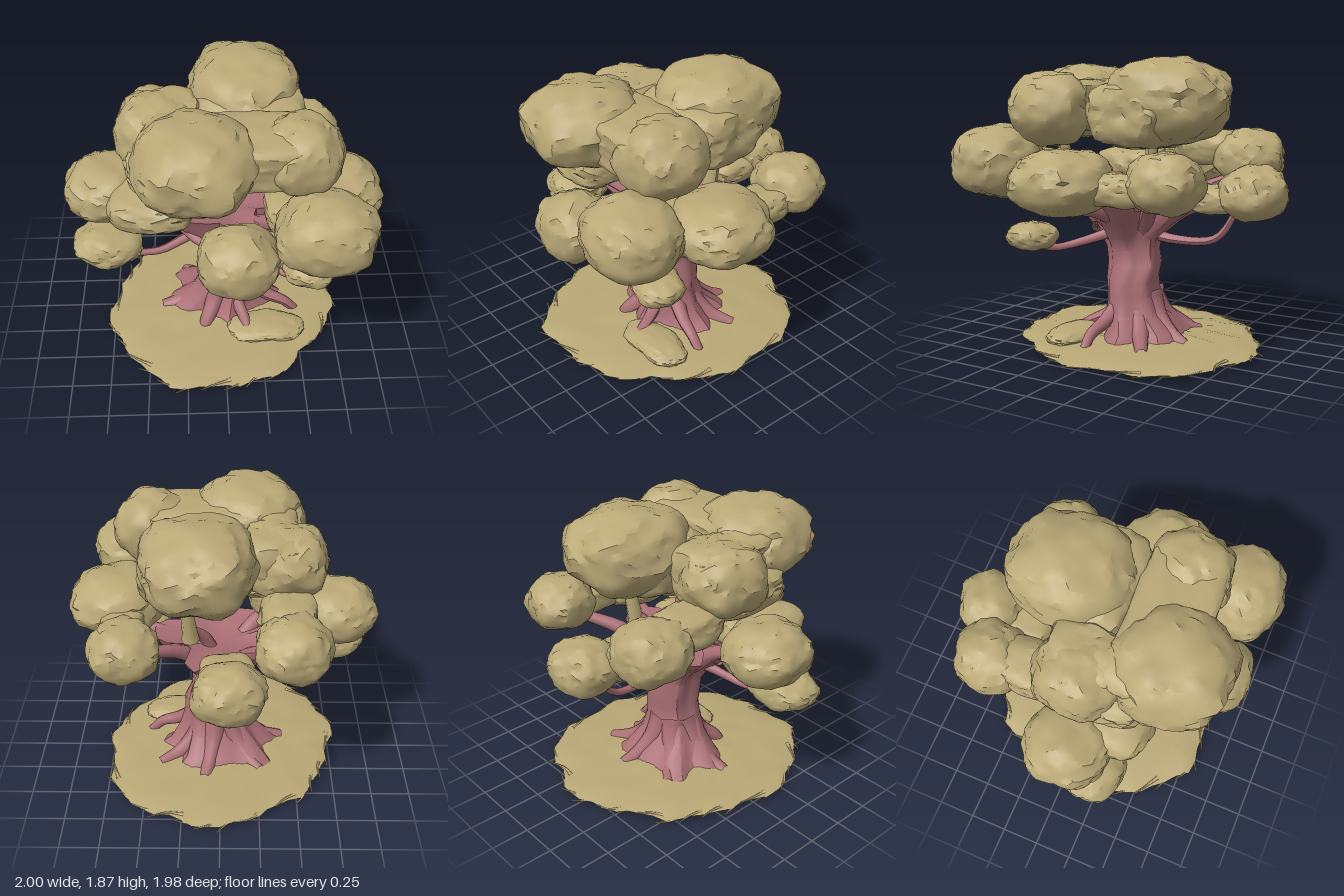
import * as THREE from 'three';
import { mergeVertices, toCreasedNormals } from 'three/addons/utils/BufferGeometryUtils.js';

const V = (x, y, z) => new THREE.Vector3(x, y, z);

// small seeded random generator
function seeded(seed) {
  let s = seed * 7919 + 17;
  return () => ((s = (s * 16807) % 2147483647) / 2147483647);
}

// craggy foliage clump with a smoother underside; higher power is boxier
function clumpGeometry(radii, seed, power = 2.25) {
  let geo = new THREE.IcosahedronGeometry(1, 7);
  geo.deleteAttribute('uv');
  geo.deleteAttribute('normal');
  geo = mergeVertices(geo, 1e-4);
  const rnd = seeded(seed);
  const p = geo.attributes.position;
  const v = V(0, 0, 0);
  for (let i = 0; i < p.count; i++) {
    v.fromBufferAttribute(p, i);
    const sum = Math.abs(v.x) ** power + Math.abs(v.y) ** power + Math.abs(v.z) ** power;
    const waves = Math.sin(5 * v.x + seed) * Math.sin(4.3 * v.y + 2 * seed)
      + Math.sin(5.6 * v.z + 3 * seed) * Math.sin(4.8 * v.x + 1.7 * seed)
      + 0.7 * Math.sin(9 * v.x + 4 * seed) * Math.sin(9 * v.z + seed) * Math.cos(8 * v.y);
    const rough = 0.03 + 0.04 * THREE.MathUtils.smoothstep(v.y, -0.6, 0.3);
    const scale = sum ** (-1 / power) * (1 + 0.04 * waves + rough * (rnd() - 0.5));
    p.setXYZ(i, v.x * scale * radii[0], v.y * scale * radii[1], v.z * scale * radii[2]);
  }
  return toCreasedNormals(geo, 0.6);
}

// skin over stacked rings of points
function loft(ringCount, sides, pointAt) {
  const pos = [], index = [];
  for (let i = 0; i < ringCount; i++) {
    for (let j = 0; j < sides; j++) pos.push(...pointAt(i, (j / sides) * Math.PI * 2));
  }
  for (let i = 0; i < ringCount - 1; i++) {
    for (let j = 0; j < sides; j++) {
      const a = i * sides + j, b = i * sides + (j + 1) % sides;
      index.push(a, a + sides, b, b, a + sides, b + sides);
    }
  }
  const geo = new THREE.BufferGeometry();
  geo.setAttribute('position', new THREE.Float32BufferAttribute(pos, 3));
  geo.setIndex(index);
  return toCreasedNormals(geo, 0.6);
}

// tube that narrows from r0 to r1 along a smooth path
function limbGeometry(points, r0, r1) {
  const curve = new THREE.CatmullRomCurve3(points);
  const segs = 14, sides = 8;
  const geo = new THREE.TubeGeometry(curve, segs, 1, sides);
  const p = geo.attributes.position, v = V(0, 0, 0);
  for (let i = 0; i < p.count; i++) {
    const t = Math.floor(i / (sides + 1)) / segs;
    const c = curve.getPointAt(t);
    v.fromBufferAttribute(p, i).sub(c).multiplyScalar(r0 + (r1 - r0) * Math.sqrt(t)).add(c);
    p.setXYZ(i, v.x, v.y, v.z);
  }
  geo.computeVertexNormals();
  return geo;
}

export function createModel() {
  const tree = new THREE.Group();
  tree.name = 'tree';
  const leaf = new THREE.MeshStandardMaterial({ color: 0xb9a876 });
  leaf.name = 'olive foliage';
  const bark = new THREE.MeshStandardMaterial({ color: 0xaa6f75, side: THREE.DoubleSide });
  bark.name = 'rose bark';
  const add = (name, geo, mat) => {
    const mesh = new THREE.Mesh(geo, mat);
    mesh.name = name;
    tree.add(mesh);
    return mesh;
  };

  // foliage clumps: name, centre, radii, boxiness
  const clumps = [
    ['crownTop', [0.14, 1.58, -0.27], [0.35, 0.27, 0.4]],
    ['crownTopSkirt', [0.16, 1.5, -0.12], [0.34, 0.2, 0.26], 5],
    ['crownFront', [-0.18, 1.56, 0.5], [0.36, 0.25, 0.37]],
    ['crownLeft', [0.44, 1.53, 0.38], [0.25, 0.23, 0.26]],
    ['crownRight', [-0.42, 1.48, 0.0], [0.25, 0.22, 0.27]],
    ['crownBridge', [0.02, 1.55, 0.37], [0.48, 0.16, 0.24], 6],
    ['crownShelf', [-0.33, 1.36, 0.14], [0.27, 0.12, 0.3], 4],
    ['crownInnerRight', [-0.32, 1.5, 0.02], [0.18, 0.18, 0.25], 5],
    ['midFrontLeft', [0.58, 1.2, 0.7], [0.3, 0.23, 0.27]],
    ['midFront', [0.06, 1.03, 0.74], [0.24, 0.21, 0.22]],
    ['midLeft', [0.68, 1.11, 0.15], [0.31, 0.2, 0.31]],
    ['midLeftInner', [0.46, 1.12, 0.36], [0.22, 0.12, 0.26], 3],
    ['midRight', [-0.74, 1.09, 0.06], [0.26, 0.19, 0.27]],
    ['midFrontRight', [-0.45, 1.12, 0.25], [0.27, 0.13, 0.26], 3],
    ['backRight', [-0.43, 1.2, -0.58], [0.23, 0.19, 0.23]],
    ['backRightInner', [-0.42, 1.26, -0.3], [0.17, 0.12, 0.24], 3],
    ['backLeft', [0.58, 1.13, -0.5], [0.22, 0.18, 0.22]],
    ['backLeftInner', [0.62, 1.08, -0.2], [0.14, 0.1, 0.22], 3],
    ['back', [-0.05, 1.02, -0.78], [0.22, 0.17, 0.21]],
    ['backInner', [-0.04, 0.97, -0.55], [0.17, 0.09, 0.2], 3],
    ['lowRight', [-0.74, 0.77, 0.24], [0.22, 0.125, 0.19]],
    ['lowLeft', [0.53, 0.73, 0.48], [0.165, 0.09, 0.155]],
    ['rootMoss', [0.28, 0.06, 0.32], [0.26, 0.06, 0.14]],
  ];
  clumps.forEach(([name, c, r, power], i) =>
    add(name + 'Foliage', clumpGeometry(r, i + 1, power), leaf).position.set(...c));

  // leafy stems that carry the crown
  [[0.24, 1.4, -0.22], [0.42, 1.4, 0.34], [-0.36, 1.35, 0.04]].forEach(([x, y, z]) =>
    add('crownStem', limbGeometry([V(x * 0.8, 1.0, z * 0.8), V(x * 0.85, 1.15, z * 0.9), V(x, y, z)], 0.06, 0.035), leaf));

  // trunk: x, y, z of ring centre, half widths, depth of lobes
  const trunkRings = [
    [0.0, 0.02, -0.05, 0.4, 0.31, 0.14],
    [0.0, 0.1, -0.04, 0.31, 0.26, 0.12],
    [0.03, 0.2, 0.0, 0.235, 0.19, 0.08],
    [0.05, 0.32, 0.02, 0.19, 0.165, 0.05],
    [0.06, 0.42, 0.02, 0.18, 0.165, 0.05],
    [0.03, 0.52, 0.015, 0.165, 0.175, 0.06],
    [0.025, 0.62, 0.03, 0.16, 0.175, 0.06],
    [0.02, 0.7, 0.04, 0.2, 0.2, 0.09],
    [0.01, 0.8, 0.02, 0.28, 0.27, 0.15],
    [0.0, 0.9, -0.01, 0.35, 0.34, 0.22],
    [0.0, 0.95, 0, 0.38, 0.36, 0.26],
    [0.0, 0.9, 0, 0.14, 0.14, 0.1],
    [0.0, 0.88, 0, 0.001, 0.001, 0],
  ];
  add('trunk', loft(trunkRings.length, 30, (i, a) => {
    const [x, y, z, rx, rz, lobe] = trunkRings[i];
    const k = 1 + lobe * Math.sin(5 * a + 0.6 + y) + lobe * 0.5 * Math.sin(8 * a + 2 + 3 * y);
    return [x + Math.cos(a) * rx * k, y, z + Math.sin(a) * rz * k];
  }), bark);

  // main branches: end point, thickness at the start and the end
  const branches = [
    [[0.56, 1.1, 0.6], 0.1, 0.03], [[0.06, 0.95, 0.66], 0.09, 0.035],
    [[0.78, 0.95, 0.15], 0.1, 0.03], [[-0.7, 1.02, 0.06], 0.1, 0.03],
    [[-0.45, 1.04, 0.3], 0.1, 0.04], [[-0.42, 1.1, -0.55], 0.1, 0.03],
    [[0.55, 1.06, -0.46], 0.1, 0.03], [[-0.05, 0.95, -0.68], 0.09, 0.035],
    [[0.2, 1.08, -0.18], 0.08, 0.03],
  ];
  branches.forEach(([e, r0, r1]) => {
    const end = V(...e);
    const mid = V(e[0] * 0.5, 0.87 + (e[1] - 0.87) * 0.4, e[2] * 0.5);
    add('branch', limbGeometry([V(0.02, 0.66, 0.02), V(e[0] * 0.22, 0.78, e[2] * 0.22), mid, end], r0, r1), bark);
  });

  // thin drooping side branches
  [
    [V(-0.08, 0.76, 0.06), V(-0.26, 0.71, 0.14), V(-0.42, 0.665, 0.2), V(-0.7, 0.69, 0.24)],
    [V(0.1, 0.74, 0.1), V(0.24, 0.67, 0.28), V(0.38, 0.635, 0.42), V(0.5, 0.67, 0.48)],
    [V(0.0, 0.72, -0.06), V(0.0, 0.69, -0.25), V(-0.02, 0.72, -0.54), V(-0.04, 0.92, -0.68)],
    [V(-0.1, 0.78, 0.1), V(-0.06, 0.8, 0.34), V(0.02, 0.83, 0.55), V(0.06, 0.9, 0.7)],
    [V(-0.28, 0.82, 0.12), V(-0.12, 0.74, 0.24), V(0.14, 0.74, 0.25), V(0.3, 0.8, 0.16)],
  ].forEach((pts) => add('thinBranch', limbGeometry(pts, 0.045, 0.02), bark));

  // spreading roots: direction in degrees from +x towards +z, reach
  [[118, 0.32], [172, 0.44], [228, 0.42], [282, 0.4], [328, 0.46]].forEach(([deg, reach]) => {
    const a = THREE.MathUtils.degToRad(deg);
    const at = (r, y) => V(0.02 + Math.cos(a) * r, y, Math.sin(a) * r);
    add('root', limbGeometry([at(0.08, 0.3), at(0.18, 0.16), at(0.3, 0.07), at(reach, 0.03)], 0.11, 0.04), bark);
  });

  // arched roots with a gap below
  add('archedRoot', limbGeometry([V(0.16, 0.26, 0.06), V(0.3, 0.16, 0.1), V(0.42, 0.11, 0.12), V(0.5, 0.03, 0.12)], 0.07, 0.03), bark);
  add('archedRoot', limbGeometry([V(0.06, 0.24, 0.1), V(0.1, 0.16, 0.2), V(0.14, 0.11, 0.3), V(0.16, 0.05, 0.4)], 0.06, 0.03), bark);

  // ground mat: flat underside, ragged rim, low mound; ring = share of radius, height
  const edge = (a) => (0.84 + 0.05 * Math.cos(2 * (a + Math.PI / 4)))
    * (1 + 0.025 * Math.sin(7 * a) + 0.02 * Math.sin(13 * a + 1) + 0.012 * Math.sin(23 * a));
  const groundRings = [[0.001, 0], [0.9, 0], [0.98, 0.018], [0.9, 0.036], [0.7, 0.045], [0.5, 0.055], [0.3, 0.07], [0.001, 0.07]];
  add('ground', loft(groundRings.length, 56, (i, a) => {
    const [k, h] = groundRings[i];
    const r = k * edge(a);
    const y = h + (i > 2 ? 0.008 * Math.sin(9 * a + 3 * i) : 0);
    return [Math.cos(a) * r * 0.93, y, Math.sin(a) * r];
  }), leaf);

  // loose flat strands around the rim
  const rnd = seeded(5);
  for (let i = 0; i < 34; i++) {
    const a = (i / 34) * Math.PI * 2;
    const at = (t, k, y) => V(Math.cos(a + t) * edge(a + t) * k * 0.93, y, Math.sin(a + t) * edge(a + t) * k);
    const y = 0.015 + rnd() * 0.03;
    add('groundStrand', limbGeometry([at(-0.13, 0.92, y), at(0, 0.96, y), at(0.12, 0.98 + rnd() * 0.05, y)], 0.016, 0.005), leaf)
      .scale.y = 0.6;
  }
  return tree;
}
